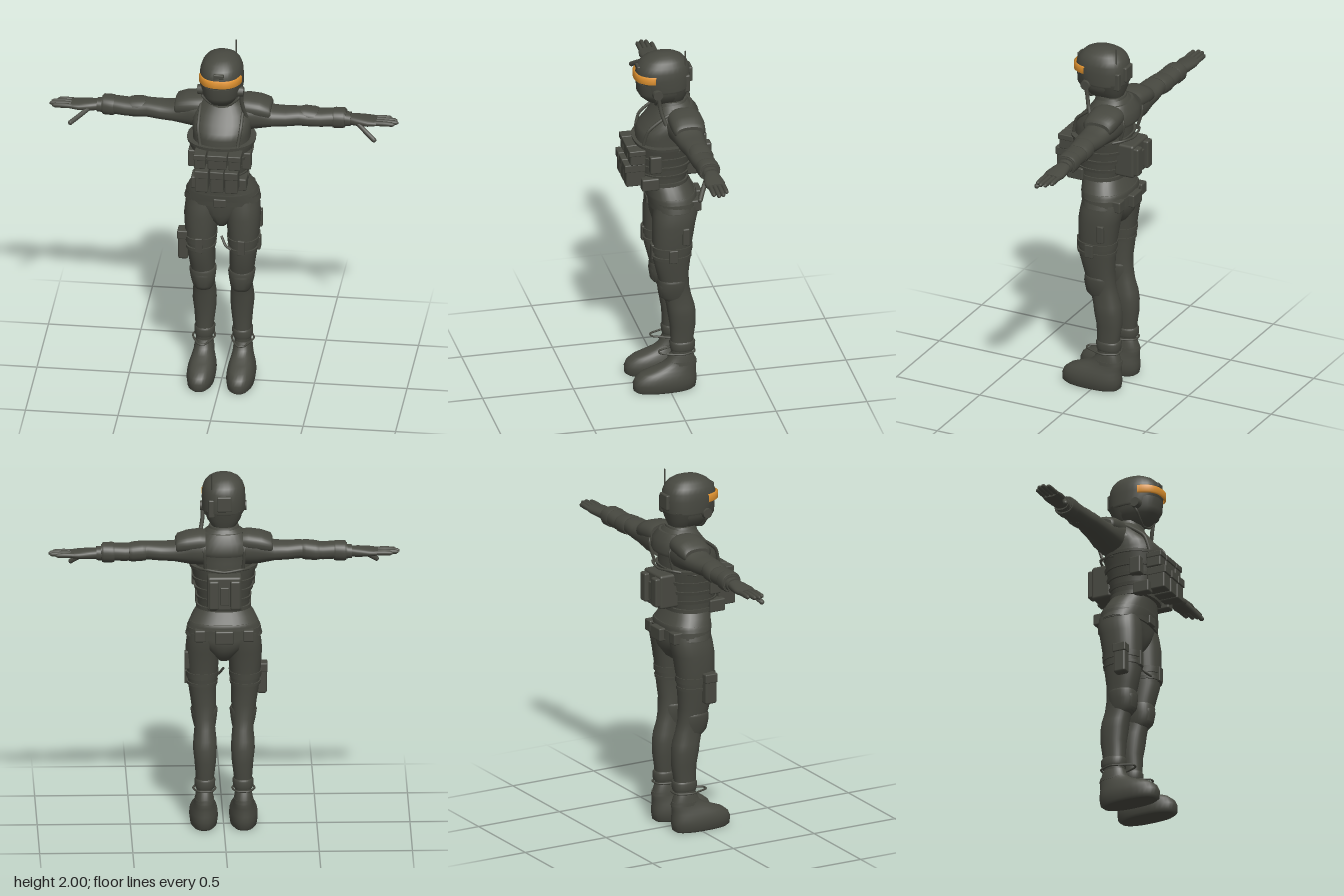
import * as THREE from 'three';
import { RoundedBoxGeometry } from 'three/addons/geometries/RoundedBoxGeometry.js';

const gear = new THREE.MeshStandardMaterial({ color: 0x474840, side: THREE.DoubleSide });
gear.name = 'darkOliveGear';
const amber = new THREE.MeshStandardMaterial({ color: 0xe0922f, side: THREE.DoubleSide });
amber.name = 'amberVisor';

// Skin superellipse rings [y, cx, cz, rx, rz] listed from bottom to top.
function loft(rings, { n = 2.3, seg = 32, from = 0, to = Math.PI * 2 } = {}) {
  const closed = to - from > 6.28, cols = closed ? seg : seg + 1;
  const pos = [], idx = [];
  const pw = v => Math.sign(v) * Math.pow(Math.abs(v), 2 / n);
  const addRing = ([y, cx, cz, rx, rz]) => {
    for (let j = 0; j < cols; j++) {
      const a = from + (to - from) * j / seg;
      pos.push(cx + rx * pw(Math.cos(a)), y, cz + rz * pw(Math.sin(a)));
    }
  };
  rings.forEach(addRing);
  for (let i = 0; i < rings.length - 1; i++) for (let j = 0; j < seg; j++) {
    const k = (j + 1) % cols, a = i * cols, b = a + cols;
    idx.push(a + j, b + j, a + k, a + k, b + j, b + k);
  }
  if (closed) [rings[0], rings[rings.length - 1]].forEach((r, top) => {
    const c = pos.length / 3;
    pos.push(r[1], r[0], r[2]);
    addRing(r);
    for (let j = 0; j < seg; j++) {
      const p = c + 1 + j, q = c + 1 + (j + 1) % seg;
      top ? idx.push(c, q, p) : idx.push(c, p, q);
    }
  });
  const g = new THREE.BufferGeometry();
  g.setAttribute('position', new THREE.Float32BufferAttribute(pos, 3));
  g.setIndex(idx);
  g.computeVertexNormals();
  return g;
}

// Sideways loft along s*x, rings [x, cy, cz, ry, rz].
const sideLoft = (s, rings, opts) =>
  loft(rings.map(([x, cy, cz, ry, rz]) => [x, -s * cy, cz, ry, rz]), opts).rotateZ(-s * Math.PI / 2);

const tube = (pts, r, closed = false, seg = 24) => new THREE.TubeGeometry(
  new THREE.CatmullRomCurve3(pts.map(p => new THREE.Vector3(...p)), closed, 'catmullrom', 0.3), seg, r, 8, closed);

export function createModel() {
  const model = new THREE.Group();
  const add = (name, geo, mat = gear, parent = model) => {
    const m = new THREE.Mesh(geo, mat);
    m.name = name;
    parent.add(m);
    return m;
  };
  // Rounded box given by its extents.
  const box = (name, x0, x1, y0, y1, z0, z1, r = 0.008, parent = model) => {
    const m = add(name, new RoundedBoxGeometry(x1 - x0, y1 - y0, z1 - z0, 2, r), gear, parent);
    m.position.set((x0 + x1) / 2, (y0 + y1) / 2, (z0 + z1) / 2);
    return m;
  };
  const sbox = (name, s, x0, x1, ...rest) => s > 0 ? box(name, x0, x1, ...rest) : box(name, -x1, -x0, ...rest);

  // Head, helmet and visor
  add('face', loft([[1.685, 0, 0, .05, .065], [1.7, 0, .005, .068, .095], [1.73, 0, .01, .088, .125],
    [1.76, 0, .015, .104, .137], [1.82, 0, .015, .11, .14]]));
  add('helmet', loft([[1.775, 0, -.002, .112, .125], [1.785, 0, 0, .116, .137], [1.85, 0, .01, .117, .148],
    [1.89, 0, .01, .114, .144], [1.92, 0, .008, .104, .13], [1.943, 0, .006, .087, .108],
    [1.96, 0, .004, .062, .077], [1.969, 0, .002, .035, .043], [1.972, 0, 0, .008, .01]]));
  add('helmetNape', loft([[1.7, 0, -.045, .065, .06], [1.74, 0, -.05, .09, .07], [1.79, 0, -.05, .105, .082]]));
  add('visor', loft([[1.832, 0, .012, .112, .148], [1.838, 0, .012, .121, .158], [1.872, 0, .012, .121, .158],
    [1.878, 0, .012, .112, .148]], { n: 2.5, from: .3, to: Math.PI - .3 }), amber);
  box('helmetMount', -.028, .028, 1.885, 1.912, .12, .155, .005);
  box('helmetBattery', -.04, .04, 1.8, 1.885, -.148, -.11);
  const antenna = add('antenna', new THREE.CylinderGeometry(.004, .004, .2, 8));
  antenna.position.set(.065, 1.9, -.1);
  box('antennaBase', .05, .085, 1.76, 1.86, -.125, -.08);
  for (const s of [1, -1]) {
    const ear = add('earpiece', new THREE.CylinderGeometry(.026, .03, .03, 16).rotateZ(-s * Math.PI / 2));
    ear.position.set(s * .11, 1.775, .06);
    add('chinStrap', tube([[s * .112, 1.78, .04], [s * .095, 1.73, .06], [s * .05, 1.69, .06], [0, 1.683, .05]], .007));
  }
  add('airHose', tube([[.112, 1.77, .06], [.112, 1.71, .05], [.12, 1.66, .04], [.135, 1.6, .02]], .011));

  // Neck, jacket and vest
  add('neck', loft([[1.62, 0, -.04, .085, .085], [1.7, 0, -.03, .065, .07], [1.77, 0, -.02, .065, .07]]));
  add('jacketChest', loft([[1.44, 0, .005, .155, .15], [1.51, 0, .005, .155, .152], [1.545, 0, 0, .158, .142],
    [1.58, 0, -.02, .158, .128], [1.62, 0, -.045, .15, .122], [1.66, 0, -.05, .12, .098], [1.69, 0, -.045, .08, .078]]));
  add('collar', loft([[1.65, 0, -.04, .1, .09], [1.7, 0, -.038, .078, .078]]));
  add('shoulderYoke', loft([[1.555, 0, -.03, .158, .15], [1.575, 0, -.04, .165, .148], [1.63, 0, -.06, .15, .12],
    [1.672, 0, -.06, .11, .09]]));
  add('vest', loft([[1.235, 0, .01, .138, .12], [1.33, 0, .01, .145, .142], [1.4, 0, .01, .162, .153], [1.47, 0, .01, .178, .16]]));
  add('vestRim', loft([[1.462, 0, .01, .184, .163], [1.477, 0, .01, .186, .165]]));
  [1.29, 1.345, 1.4].forEach(y => {
    const k = (y - 1.29) * .2;
    add('vestWebbing', loft([[y - .009, 0, .01, .147 + k, .139 + k], [y + .009, 0, .01, .151 + k, .143 + k]]));
  });
  add('vestHem', loft([[1.228, 0, .005, .147, .128], [1.25, 0, .005, .147, .13]]));

  // Chest pouches in two rows
  [[-.125, -.065], [-.052, .05], [.06, .125]].forEach(([a, b]) => {
    box('upperPouch', a, b, 1.37, 1.452, .13, .215);
    box('upperPouchFlap', a - .003, b + .003, 1.425, 1.457, .13, .221, .005);
  });
  [-.083, 0, .078].forEach(x => {
    box('lowerPouch', x - .035, x + .035, 1.24, 1.365, .13, .235);
    box('lowerPouchFlap', x - .037, x + .037, 1.325, 1.37, .13, .243, .005);
  });
  for (const s of [1, -1]) {
    sbox('sidePouch', s, .095, .15, 1.22, 1.29, .06, .155);
    sbox('ribPouch', s, .12, .17, 1.33, 1.43, .05, .115);
    add('vestStrap', tube([[s * .1, 1.47, .14], [s * .115, 1.57, .11], [s * .115, 1.655, -.02], [s * .11, 1.6, -.165],
      [s * .1, 1.47, -.14]], .009));
  }

  // Back pack
  box('backPack', -.092, .092, 1.265, 1.455, -.215, -.1, .014);
  for (const s of [1, -1]) sbox('backPackPouch', s, .03, .085, 1.28, 1.44, -.242, -.19, .01);
  box('backPackPanel', -.024, .024, 1.3, 1.4, -.226, -.2, .005);
  add('backCord', tube([[-.17, 1.455, -.04], [-.1, 1.48, -.155], [0, 1.47, -.175], [.1, 1.48, -.155], [.17, 1.455, -.04]], .007));

  // Jacket skirt, belt and hips
  add('jacketWaist', loft([[1.155, 0, -.028, .187, .133], [1.2, 0, -.015, .165, .122], [1.25, 0, 0, .13, .112]]));
  add('jacketSkirt', loft([[1.09, 0, -.035, .207, .13], [1.15, 0, -.03, .19, .137], [1.165, 0, -.028, .183, .132]]));
  add('belt', loft([[1.085, 0, -.037, .202, .134], [1.135, 0, -.035, .198, .137]]));
  box('beltBuckle', -.035, .035, 1.085, 1.135, .07, .108, .006);
  box('rearBeltPouch', -.05, .05, 1.07, 1.143, -.198, -.14);
  for (const s of [1, -1]) sbox('beltPouch', s, .1, .16, 1.075, 1.14, -.17, -.11);
  add('hips', loft([[.94, 0, -.02, .03, .06], [.97, 0, -.03, .055, .095], [1.02, 0, -.04, .12, .12], [1.07, 0, -.04, .185, .125],
    [1.11, 0, -.036, .195, .125]]));

  for (const s of [1, -1]) {
    const m = rings => rings.map(([y, cx, ...r]) => [y, s * cx, ...r]);

    // Arm, cuff and shoulder pad
    add('sleeve', sideLoft(s, [[.1, 1.58, -.07, .09, .1], [.18, 1.58, -.08, .082, .092], [.27, 1.567, -.08, .052, .078],
      [.34, 1.568, -.082, .049, .073], [.41, 1.573, -.084, .048, .064], [.46, 1.567, -.085, .045, .06],
      [.53, 1.566, -.092, .046, .062], [.6, 1.57, -.097, .046, .058], [.66, 1.567, -.1, .042, .05]]));
    add('shoulderPad', sideLoft(s, [[.1, 1.625, -.08, .055, .085], [.13, 1.627, -.08, .058, .092], [.2, 1.62, -.083, .056, .092],
      [.25, 1.61, -.083, .048, .086], [.26, 1.605, -.083, .035, .074]]));
    add('elbowPad', sideLoft(s, [[.42, 1.572, -.09, .05, .06], [.44, 1.572, -.092, .052, .065], [.49, 1.568, -.094, .051, .065],
      [.51, 1.567, -.094, .047, .06]]));
    add('cuff', sideLoft(s, [[.59, 1.567, -.097, .05, .058], [.6, 1.567, -.097, .053, .061], [.645, 1.567, -.1, .053, .059],
      [.655, 1.567, -.1, .049, .055]]));

    // Hand: palm, four fingers and thumb
    add('wrist', sideLoft(s, [[.64, 1.562, -.1, .038, .044], [.685, 1.562, -.1, .036, .043]]));
    add('palm', sideLoft(s, [[.68, 1.562, -.1, .028, .038], [.72, 1.561, -.098, .028, .047], [.78, 1.56, -.097, .023, .056],
      [.825, 1.56, -.098, .017, .05]]));
    [.925, .942, .935, .905].forEach((tip, i) => {
      const z = -.063 - i * .0245;
      add('finger', sideLoft(s, [[.79, 1.561, z, .012, .012], [.86, 1.562, z, .0145, .0125], [tip - .012, 1.561, z, .0125, .0115],
        [tip, 1.56, z, .005, .005]], { n: 2, seg: 12 }));
    });
    add('thumb', tube([[s * .73, 1.553, -.06], [s * .77, 1.525, -.035], [s * .82, 1.49, -.008]], .0135));
    const tip = add('thumbTip', new THREE.SphereGeometry(.0135, 12, 8));
    tip.position.set(s * .82, 1.49, -.008);

    // Leg, straps, knee pad
    add('leg', loft(m([[.19, .105, -.07, .042, .056], [.3, .102, -.073, .05, .062], [.38, .1, -.077, .058, .07],
      [.45, .102, -.071, .064, .076], [.5, .102, -.064, .062, .076], [.56, .102, -.048, .056, .074], [.62, .105, -.032, .06, .078],
      [.7, .108, -.02, .068, .086], [.78, .114, -.014, .074, .1], [.88, .115, -.016, .084, .106], [1, .113, -.025, .093, .116],
      [1.06, .106, -.036, .094, .12], [1.11, .1, -.04, .09, .115]])));
    add('thighStrapUpper', loft(m([[.845, .116, -.014, .086, .11], [.878, .116, -.014, .089, .112]])));
    add('thighStrapLower', loft(m([[.805, .116, -.012, .083, .108], [.822, .116, -.012, .085, .109]])));
    box('strapBuckle', s * .115 - .02, s * .115 + .02, .8, .885, .07, .102, .004);
    add('kneePad', loft(m([[.54, .102, -.035, .048, .062], [.565, .102, -.024, .058, .076], [.61, .104, -.02, .067, .08],
      [.655, .105, -.02, .073, .08], [.667, .105, -.02, .068, .076]])));
    add('kneeCap', loft(m([[.55, .1, .01, .03, .03], [.57, .102, .02, .042, .035], [.63, .105, .028, .05, .035],
      [.65, .105, .025, .045, .032]])));

    // Boot, ankle cuff and wire loop
    add('boot', loft(m([[0, .107, .025, .06, .155], [.012, .107, .025, .072, .17], [.05, .107, .023, .077, .174],
      [.08, .107, .017, .074, .167], [.105, .106, .002, .067, .15], [.125, .106, -.025, .06, .124], [.145, .105, -.052, .054, .098],
      [.17, .105, -.068, .05, .078], [.2, .105, -.07, .046, .066], [.215, .105, -.07, .042, .06]]), { n: 2.4 }));
    add('bootCollar', loft(m([[.15, .105, -.068, .054, .085], [.17, .105, -.07, .052, .08]])));
    add('ankleCuff', loft(m([[.232, .103, -.075, .05, .064], [.245, .103, -.075, .055, .068], [.275, .102, -.075, .056, .07],
      [.285, .102, -.075, .05, .064]])));
    add('ankleWire', tube([[s * .045, .222, -.06], [s * .07, .222, -.135], [s * .135, .222, -.135], [s * .165, .222, -.06],
      [s * .125, .222, .045], [s * .085, .222, .045]], .0055, true, 48));
  }

  // Thigh gear: holster on the right, flat pouch on the left
  box('holster', -.232, -.178, .735, .9, -.015, .055, .012);
  box('holsterFlap', -.236, -.18, .855, .905, -.018, .058, .006);
  box('thighPouch', .185, .212, .9, 1.0, -.092, -.055, .006);
  box('strapClip', .19, .21, .8, .875, -.03, .02, .005);
  add('innerStrap', tube([[.06, .815, .07], [.025, .83, .05], [.0, .87, .02]], .007));
  return model;
}
